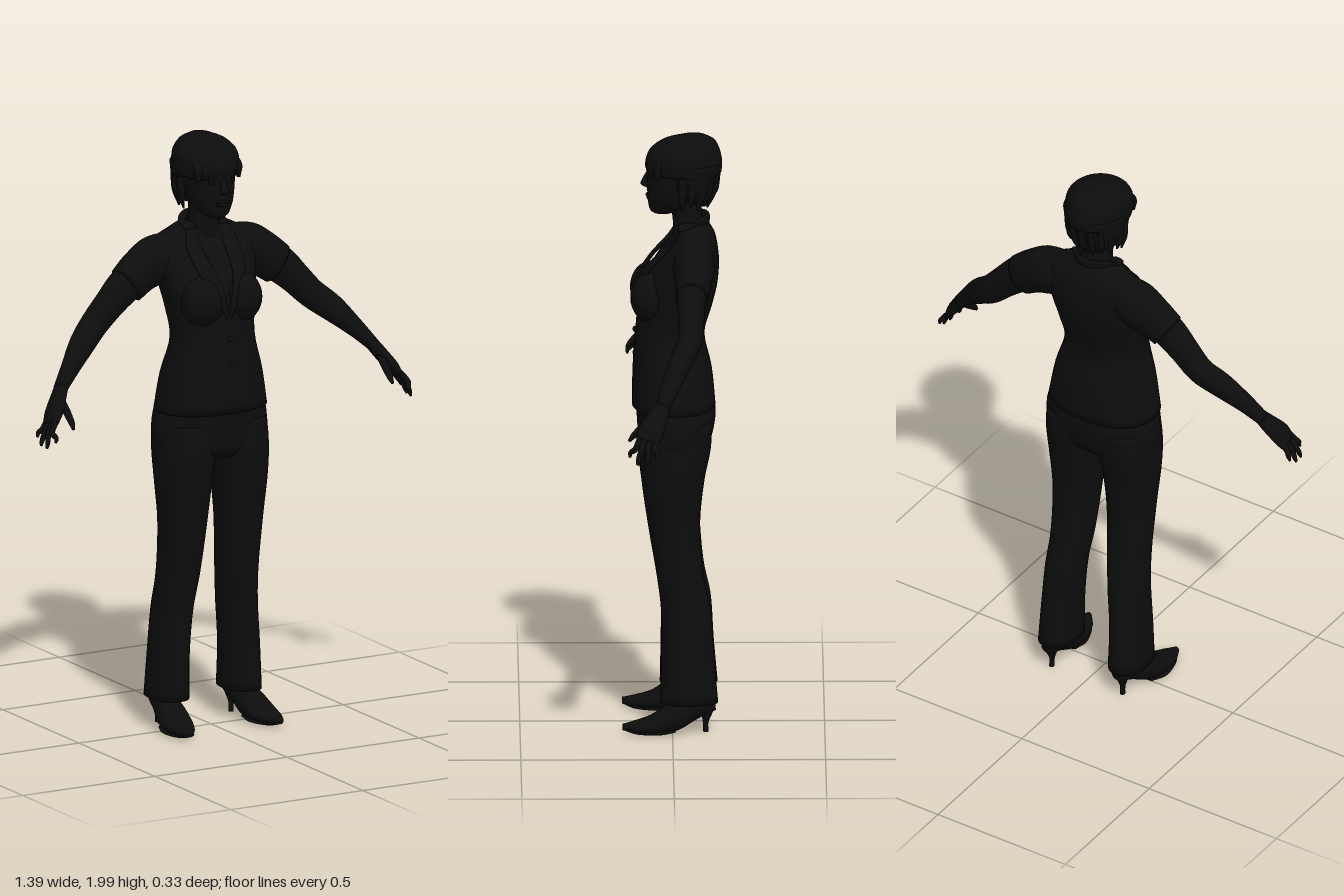
import * as THREE from 'three';

const black = new THREE.MeshStandardMaterial({ color: 0x0d0d0d, side: THREE.DoubleSide });
black.name = 'soft black';
const Y = new THREE.Vector3(0, 1, 0), Z = new THREE.Vector3(0, 0, 1);

// Smooth loft through sections [x, y, z, a, b]; a is the half size along ref, b across it.
// level keeps all rings horizontal, power squares the outline off.
function loft(sections, { ref = Z, level = false, power = 2, sides = 28, steps = 5 } = {}) {
  const path = new THREE.CatmullRomCurve3(sections.map(s => new THREE.Vector3(s[0], s[1], s[2])));
  const size = new THREE.CatmullRomCurve3(sections.map(s => new THREE.Vector3(s[3], s[4], 0)), false, 'catmullrom', 0.5);
  const rows = (sections.length - 1) * steps, pos = [], index = [];
  const bend = v => Math.sign(v) * Math.abs(v) ** (2 / power);
  for (let i = -1; i <= rows + 1; i++) {
    const t = Math.min(Math.max(i / rows, 0), 1), cap = i < 0 || i > rows;
    const c = path.getPoint(t), r = size.getPoint(t);
    const dir = level ? Y.clone() : path.getTangent(t);
    const u = ref.clone().addScaledVector(dir, -ref.dot(dir)).normalize();
    const v = dir.clone().cross(u);
    for (let j = 0; j < sides; j++) {
      const a = j / sides * Math.PI * 2;
      const p = c.clone();
      if (!cap) p.addScaledVector(u, r.x * bend(Math.cos(a))).addScaledVector(v, r.y * bend(Math.sin(a)));
      pos.push(p.x, p.y, p.z);
    }
  }
  for (let i = 0; i < rows + 2; i++) for (let j = 0; j < sides; j++) {
    const k = (j + 1) % sides, a = i * sides, b = a + sides;
    index.push(a + j, a + k, b + k, a + j, b + k, b + j);
  }
  const g = new THREE.BufferGeometry();
  g.setAttribute('position', new THREE.Float32BufferAttribute(pos, 3));
  g.setIndex(index);
  g.computeVertexNormals();
  return g;
}

export function createModel() {
  const model = new THREE.Group();
  model.name = 'standing woman';
  const add = (name, geometry) => {
    const m = new THREE.Mesh(geometry, black);
    m.name = name;
    model.add(m);
    return m;
  };
  const ball = (name, x, y, z, rx, ry, rz) =>
    add(name, new THREE.SphereGeometry(1, 24, 16).scale(rx, ry, rz).translate(x, y, z));
  const flip = (s, list) => list.map(([x, ...rest]) => [s * x, ...rest]);

  // Fitted jacket with flared hem
  add('jacket', loft([
    [0, 1.08, -0.005, 0.137, 0.194], [0, 1.2, 0, 0.13, 0.173], [0, 1.32, 0.008, 0.114, 0.142],
    [0, 1.42, -0.01, 0.122, 0.15], [0, 1.5, -0.028, 0.122, 0.167], [0, 1.58, -0.053, 0.1, 0.182],
    [0, 1.645, -0.072, 0.07, 0.172], [0, 1.68, -0.07, 0.055, 0.11], [0, 1.7, -0.068, 0.048, 0.066],
  ], { level: true, power: 2.3, sides: 40 }));
  add('collar', loft([
    [0.064, 1.685, -0.02, 0.008, 0.02], [0.066, 1.7, -0.075, 0.008, 0.02], [0.035, 1.705, -0.108, 0.008, 0.02],
    [0, 1.705, -0.116, 0.008, 0.02], [-0.035, 1.705, -0.108, 0.008, 0.02], [-0.066, 1.7, -0.075, 0.008, 0.02],
    [-0.064, 1.685, -0.02, 0.008, 0.02],
  ], { ref: new THREE.Vector3(0.01, 0.1, 1).normalize(), sides: 12 }));
  for (const y of [1.25, 1.33]) ball('jacket button', 0, y, 0.123, 0.01, 0.01, 0.007);

  // Hips of the trousers
  add('trouser hips', loft([
    [0, 0.92, -0.005, 0.09, 0.13], [0, 0.96, -0.008, 0.117, 0.196], [0, 1.05, -0.013, 0.13, 0.198],
    [0, 1.13, -0.005, 0.125, 0.175],
  ], { level: true, power: 2.3, sides: 36 }));

  // Neck and face
  add('neck', loft([
    [0, 1.64, -0.06, 0.055, 0.065], [0, 1.71, -0.05, 0.049, 0.053], [0, 1.82, -0.04, 0.055, 0.055],
  ], { level: true }));
  add('head', loft([
    [0, 1.725, 0.03, 0.03, 0.022], [0, 1.74, 0.02, 0.055, 0.046], [0, 1.78, -0.002, 0.083, 0.07],
    [0, 1.84, -0.025, 0.108, 0.084], [0, 1.9, -0.03, 0.112, 0.088], [0, 1.95, -0.035, 0.08, 0.07],
  ], { level: true }));
  add('nose', loft([
    [0, 1.87, 0.075, 0.006, 0.008], [0, 1.84, 0.088, 0.01, 0.011], [0, 1.822, 0.09, 0.014, 0.017],
    [0, 1.812, 0.08, 0.006, 0.01],
  ], { level: true, sides: 14 }));
  ball('upper lip', 0, 1.786, 0.077, 0.026, 0.006, 0.01);
  ball('lower lip', 0, 1.776, 0.074, 0.022, 0.007, 0.01);
  ball('chin', 0, 1.742, 0.056, 0.024, 0.016, 0.018);

  // Short cropped hair: crown, back and sides
  add('hair crown', loft([
    [0, 1.865, -0.04, 0.122, 0.104], [0, 1.9, -0.038, 0.126, 0.108], [0, 1.94, -0.042, 0.114, 0.102],
    [0, 1.97, -0.055, 0.085, 0.075], [0, 1.987, -0.07, 0.04, 0.035],
  ], { level: true, sides: 36 }));
  add('hair back', loft([
    [0, 1.755, -0.1, 0.02, 0.04], [0, 1.785, -0.075, 0.056, 0.085], [0, 1.83, -0.063, 0.084, 0.102],
    [0, 1.9, -0.065, 0.097, 0.107],
  ], { level: true, sides: 36 }));
  for (let i = 0; i < 11; i++) {
    // Loose pointed locks along the nape and sides
    const a = Math.PI * (i / 10) * 1.1 - 0.05 * Math.PI, x = Math.cos(a), z = Math.sin(a);
    add('hair lock', loft([
      [0.085 * x, 1.75 + 0.012 * (i % 2), -0.045 - 0.075 * z, 0.003, 0.003],
      [0.095 * x, 1.8, -0.047 - 0.09 * z, 0.013, 0.011],
      [0.097 * x, 1.86, -0.05 - 0.095 * z, 0.014, 0.012],
    ], { level: true, sides: 10 }));
  }
  for (const [x, z] of [[-0.07, 0.035], [-0.035, 0.055], [0, 0.063], [0.035, 0.055], [0.07, 0.035]])
    add('fringe lock', loft([
      [x * 1.1, 1.855, z + 0.013, 0.006, 0.006], [x, 1.9, z + 0.01, 0.015, 0.02], [x * 0.7, 1.95, z - 0.025, 0.012, 0.018],
    ], { level: true, sides: 10 }));

  for (const s of [1, -1]) {
    const side = s > 0 ? 'left ' : 'right ';
    ball(side + 'bust', s * 0.072, 1.455, 0.068, 0.073, 0.085, 0.07);
    ball(side + 'eye', s * 0.034, 1.855, 0.068, 0.014, 0.007, 0.01);
    add(side + 'brow', loft(flip(s, [
      [0.014, 1.868, 0.077, 0.004, 0.004], [0.036, 1.875, 0.072, 0.005, 0.004], [0.058, 1.868, 0.056, 0.004, 0.003],
    ]), { sides: 8 }));
    add(side + 'lapel', loft(flip(s, [
      [0.062, 1.69, -0.03, 0.005, 0.014], [0.07, 1.63, 0.008, 0.006, 0.028], [0.062, 1.56, 0.072, 0.007, 0.028],
      [0.035, 1.49, 0.113, 0.007, 0.02], [0.004, 1.4, 0.117, 0.005, 0.006],
    ]), { sides: 14 }));

    // Sleeve and arm
    add(side + 'sleeve', loft(flip(s, [
      [0.1, 1.605, -0.07, 0.06, 0.065], [0.17, 1.58, -0.07, 0.068, 0.083], [0.23, 1.55, -0.068, 0.06, 0.076],
      [0.285, 1.51, -0.062, 0.053, 0.07],
    ])));
    add(side + 'arm', loft(flip(s, [
      [0.2, 1.565, -0.068, 0.05, 0.062], [0.29, 1.51, -0.062, 0.048, 0.062], [0.35, 1.455, -0.06, 0.043, 0.054],
      [0.41, 1.395, -0.056, 0.04, 0.049], [0.47, 1.345, -0.028, 0.039, 0.045], [0.54, 1.275, 0.01, 0.031, 0.031],
      [0.592, 1.218, 0.036, 0.024, 0.022],
    ])));

    // Hand with four spread fingers and a thumb
    add(side + 'palm', loft(flip(s, [
      [0.585, 1.226, 0.034, 0.024, 0.022], [0.61, 1.19, 0.052, 0.034, 0.022], [0.638, 1.15, 0.074, 0.042, 0.02],
      [0.656, 1.12, 0.086, 0.038, 0.014],
    ]), { sides: 20 }));
    const tips = [[0.67, 1.07, 0.143], [0.689, 1.048, 0.118], [0.692, 1.05, 0.086], [0.688, 1.072, 0.055]];
    tips.forEach(([x, y, z], i) => add(side + 'finger', loft(flip(s, [
      [0.646, 1.137, 0.108 - i * 0.018, 0.01, 0.01],
      [0.673, 1.1, 0.125 - i * 0.021, 0.01, 0.01],
      [x - 0.004, y + 0.015, z - 0.002, 0.008, 0.008], [x, y, z, 0.004, 0.004],
    ]), { sides: 10 })));
    add(side + 'thumb', loft(flip(s, [
      [0.603, 1.19, 0.06, 0.014, 0.014], [0.602, 1.155, 0.1, 0.014, 0.013], [0.602, 1.125, 0.132, 0.01, 0.01],
      [0.604, 1.108, 0.146, 0.005, 0.005],
    ]), { ref: Y, sides: 10 }));

    // Trouser leg, slightly flared at the hem
    add(side + 'trouser leg', loft(flip(s, [
      [0.137, 0.1, -0.055, 0.095, 0.064], [0.133, 0.25, -0.05, 0.087, 0.061], [0.122, 0.4, -0.045, 0.082, 0.063],
      [0.111, 0.52, -0.026, 0.077, 0.069], [0.106, 0.7, -0.005, 0.086, 0.078], [0.105, 0.85, -0.002, 0.104, 0.091],
      [0.1, 0.95, -0.007, 0.119, 0.098], [0.1, 1.04, -0.012, 0.118, 0.092],
    ]), { level: true, power: 2.2 }));

    // Pointed high-heeled shoe
    add(side + 'shoe', loft(flip(s, [
      [0.137, 0.097, -0.138, 0.024, 0.024], [0.14, 0.09, -0.1, 0.034, 0.036], [0.146, 0.078, -0.05, 0.045, 0.042],
      [0.153, 0.05, 0.005, 0.046, 0.052], [0.16, 0.032, 0.06, 0.03, 0.052], [0.167, 0.024, 0.12, 0.02, 0.035],
      [0.172, 0.024, 0.163, 0.011, 0.01],
    ]), { ref: Y, sides: 24 }));
    add(side + 'shoe sole', loft(flip(s, [
      [0.153, 0.012, -0.005, 0.008, 0.04], [0.16, 0.006, 0.05, 0.006, 0.05], [0.167, 0.008, 0.12, 0.007, 0.033],
      [0.172, 0.018, 0.16, 0.005, 0.008],
    ]), { ref: Y, sides: 16 }));
    add(side + 'shoe heel', loft(flip(s, [
      [0.139, 0, -0.11, 0.009, 0.009], [0.139, 0.03, -0.109, 0.009, 0.009], [0.139, 0.06, -0.112, 0.018, 0.018],
      [0.139, 0.09, -0.115, 0.027, 0.028],
    ]), { level: true, sides: 16 }));
  }
  return model;
}
